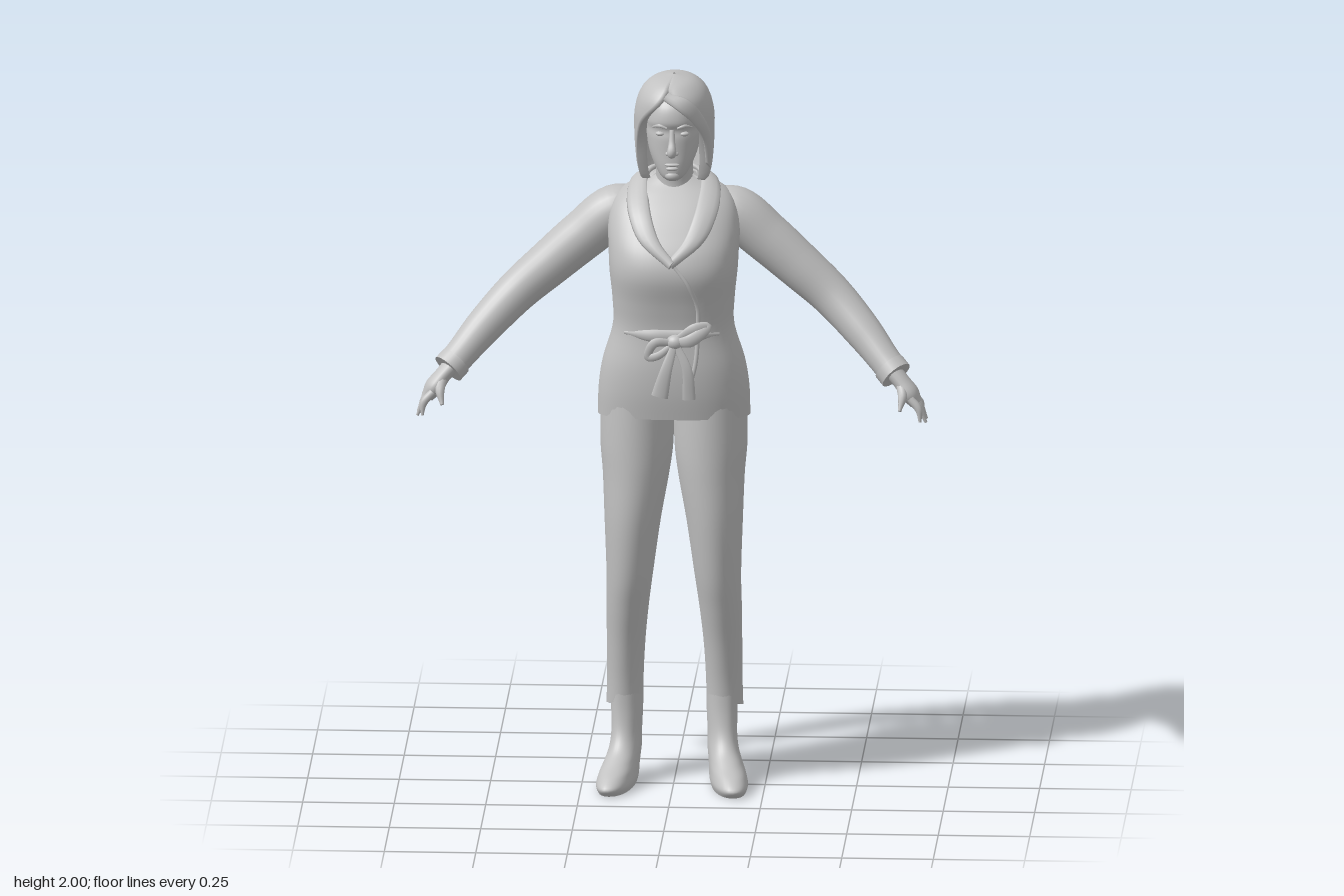
import * as THREE from 'three';

const V = (x, y, z) => new THREE.Vector3(x, y, z);
const grey = new THREE.MeshStandardMaterial({ color: 0xc2c2c2, side: THREE.DoubleSide });
grey.name = 'lightGrey';

// Skin a list of rings of points; end caps keep their own edge
function loft(rings, closed = true, caps = true) {
  const pos = [], idx = [], n = rings[0].length;
  rings.forEach(r => r.forEach(p => pos.push(p.x, p.y, p.z)));
  for (let i = 0; i < rings.length - 1; i++) {
    for (let j = 0; j < (closed ? n : n - 1); j++) {
      const a = i * n + j, b = i * n + (j + 1) % n;
      idx.push(a, b, b + n, a, b + n, a + n);
    }
  }
  if (caps) [rings[0], rings[rings.length - 1]].forEach((r, end) => {
    const start = pos.length / 3, c = V(0, 0, 0);
    r.forEach(p => { pos.push(p.x, p.y, p.z); c.add(p); });
    c.divideScalar(n);
    pos.push(c.x, c.y, c.z);
    for (let j = 0; j < n; j++) {
      const a = start + j, b = start + (j + 1) % n;
      idx.push(start + n, end ? a : b, end ? b : a);
    }
  });
  const g = new THREE.BufferGeometry();
  g.setAttribute('position', new THREE.Float32BufferAttribute(pos, 3));
  g.setIndex(idx);
  g.computeVertexNormals();
  return g;
}

// Smoothly resample a small table column by column
function resample(rows, n) {
  const cols = rows[0].map((_, k) => new THREE.SplineCurve(rows.map(r => new THREE.Vector2(r[k], 0))));
  return Array.from({ length: n + 1 }, (_, i) => cols.map(c => c.getPoint(i / n).x));
}

// Horizontal rings from rows [y, centreX, halfWidth, backZ, frontZ]
function body(rows, { n = 40, seg = 36, p = 2, tilt = () => 0, shear = 0, s = 1 } = {}) {
  const sp = v => Math.sign(v) * Math.abs(v) ** (2 / p);
  return loft(resample(rows, n).map(([y, cx, rx, zb, zf]) => Array.from({ length: seg }, (_, j) => {
    const t = j / seg * Math.PI * 2;
    const z = (zb + zf) / 2 + (zf - zb) / 2 * sp(Math.cos(t));
    return V(s * cx + rx * sp(Math.sin(t)) + s * shear * z, y + tilt(y) * z, z);
  })));
}

// Tube with radii changing along a smooth path
function limb(points, radii, n = 24, seg = 16, squash = 1) {
  const curve = new THREE.CatmullRomCurve3(points), rad = resample(radii.map(r => [r]), n);
  return loft(rad.map(([r], i) => {
    const c = curve.getPoint(i / n), T = curve.getTangent(i / n);
    const N = V(0, 0, 1).addScaledVector(T, -T.z).normalize(), B = T.clone().cross(N);
    return Array.from({ length: seg }, (_, j) => {
      const t = j / seg * Math.PI * 2;
      return c.clone().addScaledVector(N, r * squash * Math.cos(t)).addScaledVector(B, r * Math.sin(t));
    });
  }));
}

// Flat padded strip between two edge curves
function band(inner, outer, thick, n = 28, seg = 12) {
  const a = new THREE.CatmullRomCurve3(inner), b = new THREE.CatmullRomCurve3(outer);
  const mid = t => a.getPoint(t).add(b.getPoint(t)).multiplyScalar(0.5);
  return loft(Array.from({ length: n + 1 }, (_, i) => {
    const t = i / n, c = mid(t), U = b.getPoint(t).sub(a.getPoint(t)).multiplyScalar(0.5);
    const T = mid(Math.min(1, t + 0.01)).sub(mid(Math.max(0, t - 0.01))).normalize();
    const W = T.cross(U).normalize().multiplyScalar(thick);
    return Array.from({ length: seg }, (_, j) => {
      const q = j / seg * Math.PI * 2;
      return c.clone().addScaledVector(U, Math.cos(q)).addScaledVector(W, Math.sin(q));
    });
  }));
}

const jacketRows = [
  [1.045, 0, .208, -.17, .112], [1.12, 0, .206, -.165, .122], [1.2, 0, .194, -.145, .125],
  [1.3, 0, .166, -.118, .12], [1.38, 0, .167, -.125, .132], [1.46, 0, .175, -.145, .15],
  [1.52, 0, .178, -.152, .138], [1.58, 0, .18, -.155, .1], [1.63, 0, .17, -.155, .062],
  [1.665, 0, .145, -.15, .028], [1.69, 0, .1, -.14, 0], [1.71, 0, .06, -.125, -.02]];

// Point on the front of the jacket at (x, y), lifted by d
function onJacket(x, y, d = 0.006) {
  const i = Math.max(0, Math.min(jacketRows.length - 2, jacketRows.findIndex(r => r[0] > y) - 1));
  const A = jacketRows[i], B = jacketRows[i + 1], k = (y - A[0]) / (B[0] - A[0]);
  const [rx, zb, zf] = [2, 3, 4].map(c => A[c] + (B[c] - A[c]) * k);
  const h = (1 - Math.min(1, Math.abs(x / rx)) ** 2.4) ** (1 / 2.4);
  return V(x, y, (zb + zf) / 2 + (zf - zb) / 2 * h + d);
}

// Hair shell, open around the face, with its edges turned in
function hairGeometry() {
  const rows = [
    [1.715, .05, -.11, .0, 1.3], [1.7, .088, -.142, .03, 1.25], [1.74, .102, -.152, .055, 1.2],
    [1.8, .108, -.16, .075, 1.1], [1.86, .11, -.17, .09, .9], [1.9, .108, -.17, .098, .62],
    [1.94, .098, -.162, .098, .22], [1.97, .08, -.142, .078, .02], [1.99, .05, -.105, .045, 0],
    [2.0, .004, -.035, -.025, 0]];
  const seg = 36;
  return loft(resample(rows, 36).map(([y, rx, zb, zf, open]) => {
    const o = Math.max(0, open), ring = [];
    for (let j = -1; j <= seg + 1; j++) {
      const k = j < 0 || j > seg ? 0.74 : 1;
      const u = Math.min(seg, Math.max(0, j)) / seg;
      // the parting sits a little to one side
      const a = o * 1.08 - .15, b = Math.PI * 2 - o * 0.92 - .15;
      const t = a + (b - a) * u;
      ring.push(V(k * rx * Math.sin(t), y, (zb + zf) / 2 + k * (zf - zb) / 2 * Math.cos(t)));
    }
    return ring;
  }), false, false);
}

export function createModel() {
  const model = new THREE.Group();
  model.name = 'standingWoman';
  const add = (name, geo, parent = model) => {
    const m = new THREE.Mesh(geo, grey);
    m.name = name;
    parent.add(m);
    return m;
  };
  const blob = (name, x, y, z, rx, ry, rz, parent) => {
    const m = add(name, new THREE.SphereGeometry(1, 20, 14), parent);
    m.position.set(x, y, z);
    m.scale.set(rx, ry, rz);
    return m;
  };

  // Head and face
  const head = new THREE.Group();
  head.name = 'head';
  model.add(head);
  add('face', body([
    [1.722, 0, .018, .02, .07], [1.735, 0, .036, -.02, .081], [1.765, 0, .054, -.06, .084],
    [1.8, 0, .067, -.08, .083], [1.84, 0, .074, -.1, .083], [1.865, 0, .076, -.11, .08],
    [1.89, 0, .077, -.12, .088], [1.93, 0, .07, -.12, .078], [1.965, 0, .045, -.09, .045]], { p: 2.2 }), head);
  add('nose', limb([V(0, 1.868, .078), V(0, 1.835, .088), V(0, 1.808, .098), V(0, 1.798, .088)],
    [.007, .009, .013, .009], 14, 12), head);
  blob('upperLip', 0, 1.771, .083, .021, .005, .008, head);
  blob('lowerLip', 0, 1.76, .083, .017, .006, .008, head);
  blob('chin', 0, 1.738, .073, .02, .014, .014, head);
  for (const s of [-1, 1]) {
    blob('eye', s * .032, 1.856, .069, .014, .007, .011, head);
    add('brow', limb([V(s * .014, 1.874, .084), V(s * .034, 1.88, .079), V(s * .054, 1.873, .062)],
      [.003, .005, .002], 10, 8), head);
    blob('nostril', s * .011, 1.803, .085, .007, .006, .009, head);
  }
  add('hair', hairGeometry(), head);
  add('sweptFringe', band(
    [V(-.025, 1.955, .088), V(.02, 1.925, .096), V(.058, 1.885, .076), V(.082, 1.83, .04), V(.09, 1.76, .012)],
    [V(-.01, 1.972, .075), V(.045, 1.955, .08), V(.085, 1.9, .055), V(.105, 1.83, .02), V(.1, 1.74, -.005)],
    .007), head);
  add('neck', limb([V(0, 1.6, -.04), V(0, 1.68, -.05), V(0, 1.78, -.035)], [.075, .054, .05], 12, 24));

  // Wrap jacket: lower at the sides and back, raised at the front
  add('jacket', body(jacketRows, { n: 60, seg: 48, p: 2.4, tilt: y => y < 1.2 ? (1.2 - y) * .7 : 0 }));
  for (const s of [-1, 1]) {
    const f = (x, y) => onJacket(s * x, y, s < 0 ? .012 : .007);
    add('shawlCollar', band(
      [V(0, 1.725, -.125), V(s * .045, 1.722, -.11), V(s * .07, 1.71, -.06), V(s * .07, 1.68, -.005), f(.056, 1.62), f(.03, 1.56), f(-.01, 1.515)],
      [V(0, 1.675, -.165), V(s * .07, 1.68, -.15), V(s * .115, 1.69, -.08), V(s * .128, 1.668, -.02), f(.12, 1.62), f(.088, 1.56), f(.005, 1.495)],
      .011));
  }
  const edge = [[0, 1.51], [.045, 1.45], [.072, 1.38], [.072, 1.31], [.066, 1.22], [.045, 1.14]];
  add('wrapEdge', limb(edge.map(([x, y]) => onJacket(x, y, .001)), [.006, .006, .006], 30, 8));

  // Tied sash
  add('sashBand', limb([-.13, -.06, 0, .06, .13].map(x => onJacket(x, 1.297, .001)), [.004, .017, .018, .017, .004], 24, 10, .5));
  blob('sashKnot', .012, 1.285, .14, .025, .021, .02);
  add('sashLoop', limb([V(.01, 1.285, .145), V(.055, 1.295, .158), V(.1, 1.33, .14), V(.065, 1.325, .148), V(.015, 1.295, .145)],
    [.01, .018, .013, .016, .008], 24, 10, .45));
  add('sashLoop', limb([V(.005, 1.285, .145), V(-.045, 1.285, .155), V(-.062, 1.245, .15), V(-.035, 1.25, .156), V(.005, 1.28, .145)],
    [.01, .013, .011, .011, .008], 24, 10, .5));
  add('sashTail', limb([V(.01, 1.28, .15), V(-.012, 1.21, .16), V(-.03, 1.135, .158)], [.01, .016, .023], 14, 12, .3));
  add('sashTail', limb([V(.015, 1.28, .15), V(.045, 1.21, .155), V(.05, 1.125, .145)], [.01, .014, .018], 14, 12, .3));

  for (const s of [-1, 1]) {
    // Arms and hands
    const P = (x, y, z) => V(s * x, y, z);
    add('sleeve', limb([P(.08, 1.61, -.085), P(.16, 1.597, -.085), P(.25, 1.527, -.08), P(.34, 1.45, -.07),
      P(.43, 1.372, -.052), P(.52, 1.283, .0), P(.575, 1.223, .043), P(.61, 1.185, .07)],
    [.05, .071, .069, .064, .058, .051, .044, .043], 48, 24));
    add('cuff', limb([P(.592, 1.203, .058), P(.612, 1.183, .073)], [.046, .046], 4, 24));
    const hand = new THREE.Group();
    hand.name = s > 0 ? 'leftHand' : 'rightHand';
    model.add(hand);
    add('palm', limb([P(.6, 1.195, .064), P(.628, 1.165, .078), P(.65, 1.135, .085), P(.668, 1.108, .088)],
      [.024, .023, .026, .018], 16, 16, 1.45), hand);
    [[.05, .685, 1.075, .035], [.073, .695, 1.06, .066], [.097, .695, 1.058, .1], [.115, .68, 1.065, .128]]
      .forEach(([z, x, y, zt]) => add('finger', limb(
        [P(.652, 1.128, z), P(.676, 1.1, (z + zt) / 2), P(x, y, zt)], [.011, .0105, .004], 12, 10), hand));
    add('thumb', limb([P(.625, 1.165, .09), P(.632, 1.135, .122), P(.625, 1.1, .143)], [.014, .013, .005], 12, 10), hand);

    // Trouser leg with a slanted cuff
    add('trouserLeg', body([
      [.228, .137, .05, -.125, -.002], [.3, .135, .05, -.123, .008], [.4, .132, .053, -.12, .03],
      [.5, .127, .058, -.108, .058], [.6, .12, .064, -.1, .083], [.75, .112, .077, -.108, .102],
      [.88, .103, .091, -.12, .105], [.97, .101, .1, -.135, .104], [1.1, .1, .1, -.142, .1]],
    { s, tilt: y => y < .34 ? (.34 - y) * 2.6 : 0 }));

    // Soft boot
    add('boot', body([
      [0, .148, .046, -.1, .15], [.02, .148, .051, -.108, .165], [.045, .146, .049, -.11, .135],
      [.07, .142, .045, -.11, .085], [.1, .138, .042, -.108, .04], [.14, .137, .04, -.105, .014],
      [.2, .137, .042, -.106, .002], [.27, .137, .043, -.108, .0]], { s, shear: .14, p: 2.2 }));
  }
  return model;
}
